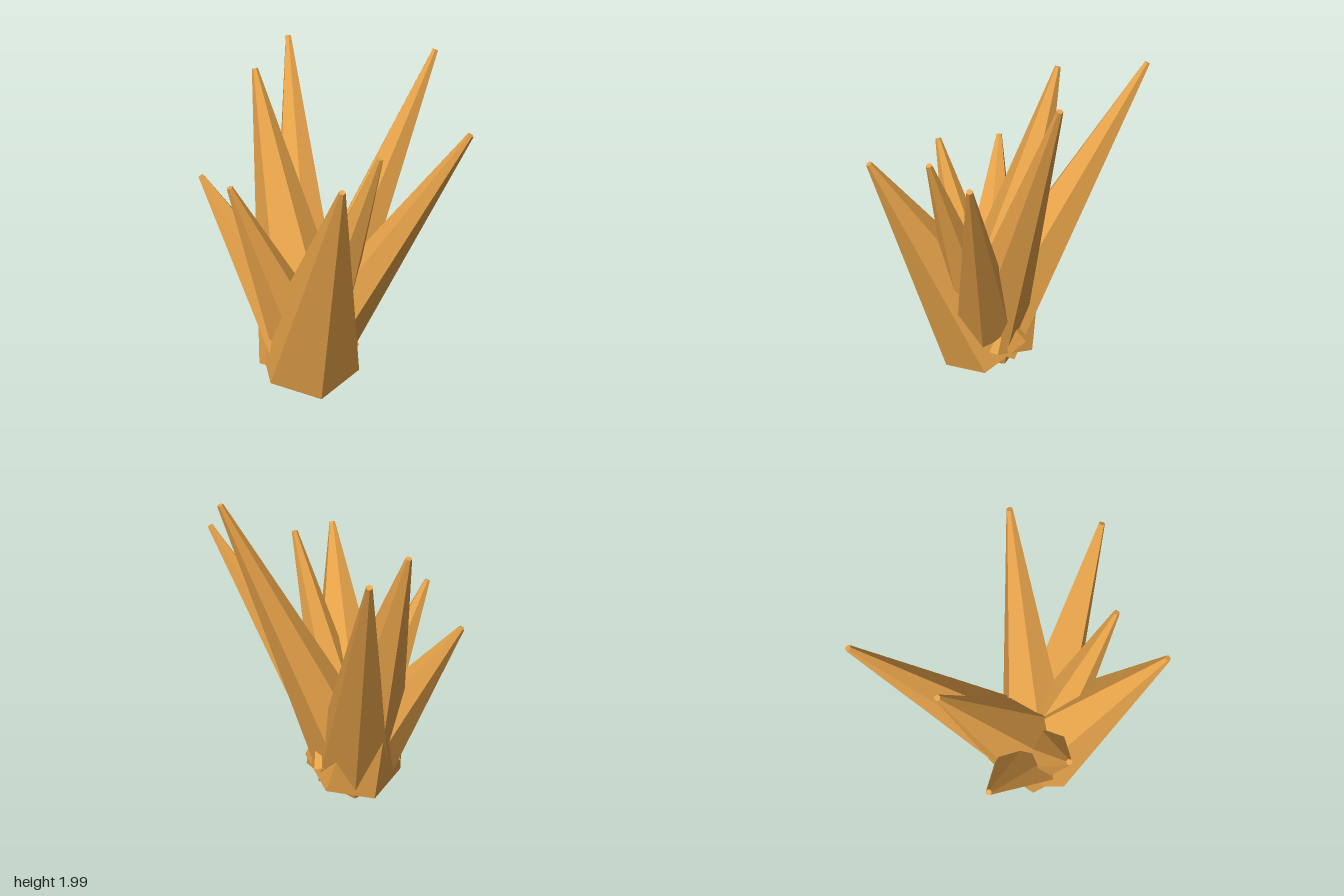
import * as THREE from 'three';

// Every crystal grows from one shared point; each has a tip and a base radius
const ROOT = new THREE.Vector3(-0.13, 0.15, 0.16);
const CRYSTALS = [
  { name: 'frontCrystal', tip: [0.05, 1.52, 0.84], radius: 0.32 },
  { name: 'frontLeftCrystal', tip: [0.26, 1.58, 0.53], radius: 0.21 },
  { name: 'leftCrystal', tip: [0.755, 1.66, 0.39], radius: 0.22 },
  { name: 'tallCrystal', tip: [0.6, 1.99, -0.11], radius: 0.24 },
  { name: 'backCrystal', tip: [-0.25, 1.87, -0.845], radius: 0.26 },
  { name: 'backRightCrystal', tip: [-0.44, 1.81, -0.35], radius: 0.31 },
  { name: 'rightCrystal', tip: [-0.76, 1.25, -0.05], radius: 0.26 },
  { name: 'frontRightCrystal', tip: [-0.56, 1.35, 0.37], radius: 0.22 },
];
const SIDES = 6;
const TIP_RADIUS = 0.018;

export function createModel() {
  const group = new THREE.Group();
  group.name = 'crystalCluster';
  const material = new THREE.MeshStandardMaterial({ color: 0xe8a44a, flatShading: true });

  for (const { name, tip, radius } of CRYSTALS) {
    const axis = new THREE.Vector3(...tip).sub(ROOT);
    const length = axis.length();
    // Six-sided spike with flat ends, standing on its base
    const geometry = new THREE.CylinderGeometry(TIP_RADIUS, radius, length, SIDES);
    geometry.translate(0, length / 2, 0);

    const crystal = new THREE.Mesh(geometry, material);
    crystal.name = name;
    crystal.position.copy(ROOT);
    // Lean outwards, keeping one edge on the outer side
    crystal.rotation.order = 'YXZ';
    crystal.rotation.y = Math.atan2(axis.x, axis.z);
    crystal.rotation.x = Math.atan2(Math.hypot(axis.x, axis.z), axis.y);
    group.add(crystal);
  }
  return group;
}
